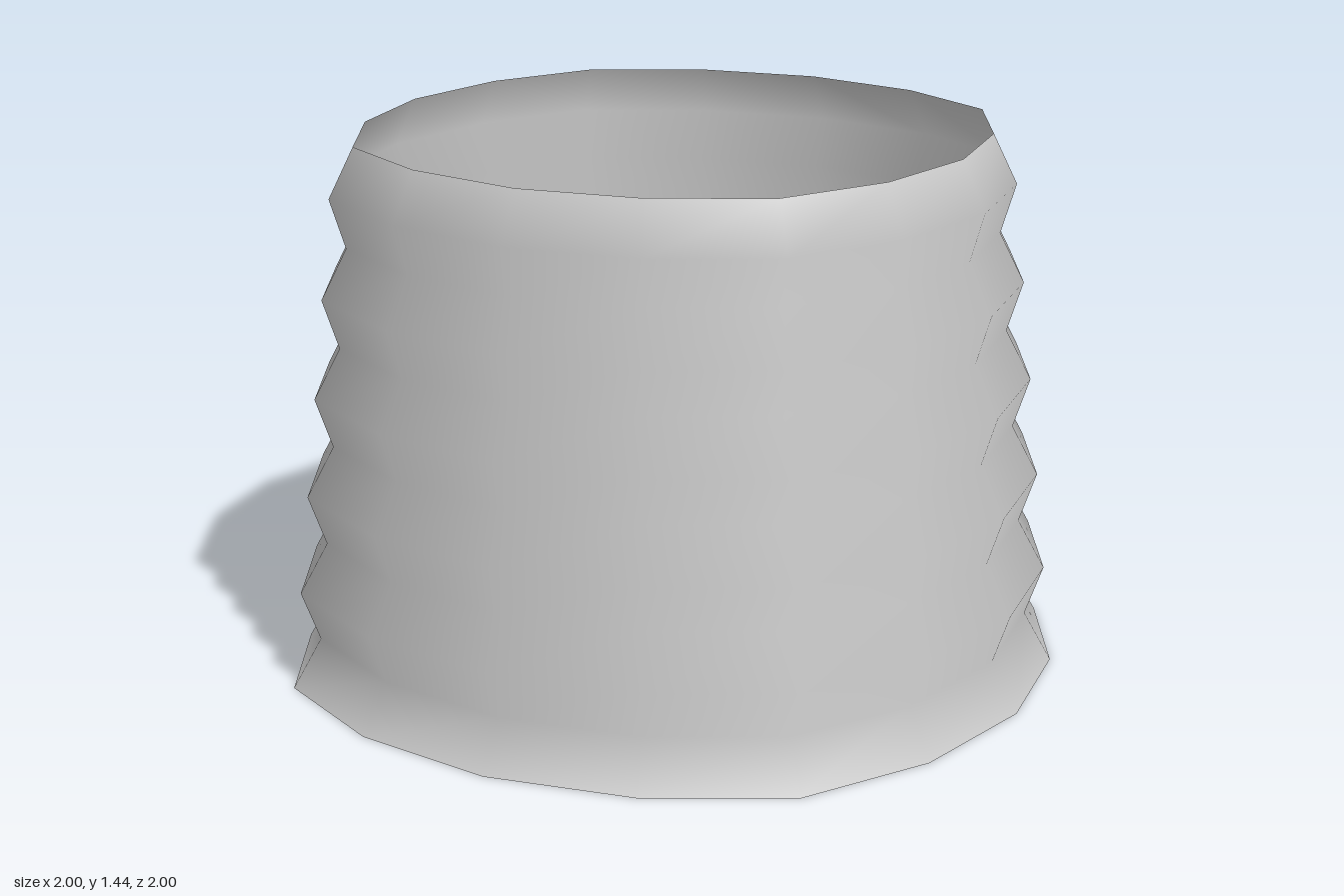
import * as THREE from 'three';

// Repeats the points [x, z] of one quarter around the axis
function ring(quarter, r = 1) {
  const pts = [];
  for (let q = 0; q < 4; q++) {
    for (let [x, z] of quarter) {
      for (let k = 0; k < q; k++) [x, z] = [z, -x];
      pts.push(new THREE.Vector2(x * r, z * r));
    }
  }
  return pts;
}

// Slightly squared sixteen-sided outline
const OUTLINE = [[0, 1], [0.4, 0.932], [0.745, 0.745], [0.932, 0.4]];
const HEIGHT = 1.444;
const STEPS = 11;

// Pleated wall: radius alternates between ridges and grooves as it tapers
function wallGeometry() {
  const pos = [], index = [], n = 16;
  for (let i = 0; i <= STEPS; i++) {
    const k = Math.floor(i / 2);
    const r = i % 2 ? 0.928 - 0.0236 * k : 1 - 0.0255 * k;
    for (const p of ring(OUTLINE, r)) pos.push(p.x, HEIGHT * i / STEPS, p.y);
  }
  for (let i = 0; i < STEPS; i++) {
    for (let j = 0; j < n; j++) {
      const a = i * n + j, b = i * n + (j + 1) % n;
      index.push(a, b, b + n, a, b + n, a + n);
    }
  }
  const g = new THREE.BufferGeometry();
  g.setAttribute('position', new THREE.Float32BufferAttribute(pos, 3));
  g.setIndex(index);
  g.computeVertexNormals();
  return g;
}

export function createModel() {
  const group = new THREE.Group();
  const grey = new THREE.MeshStandardMaterial({ color: 0xcccccc, side: THREE.DoubleSide });
  grey.name = 'grey';

  const add = (name, geometry) => {
    const mesh = new THREE.Mesh(geometry, grey);
    mesh.name = name;
    group.add(mesh);
  };

  add('pleatedWall', wallGeometry());

  // Flat floor closing the underside
  add('floor', new THREE.ShapeGeometry(new THREE.Shape(ring(OUTLINE))).rotateX(Math.PI / 2));

  // Low plate in the middle of the floor
  const plate = new THREE.Shape(ring([[0.14, 0.435], [0.34, 0.34], [0.435, 0.14]]));
  add('innerPlate', new THREE.ExtrudeGeometry(plate, { depth: 0.02, bevelEnabled: false })
    .rotateX(-Math.PI / 2).translate(0, 0.005, 0));

  return group;
}
